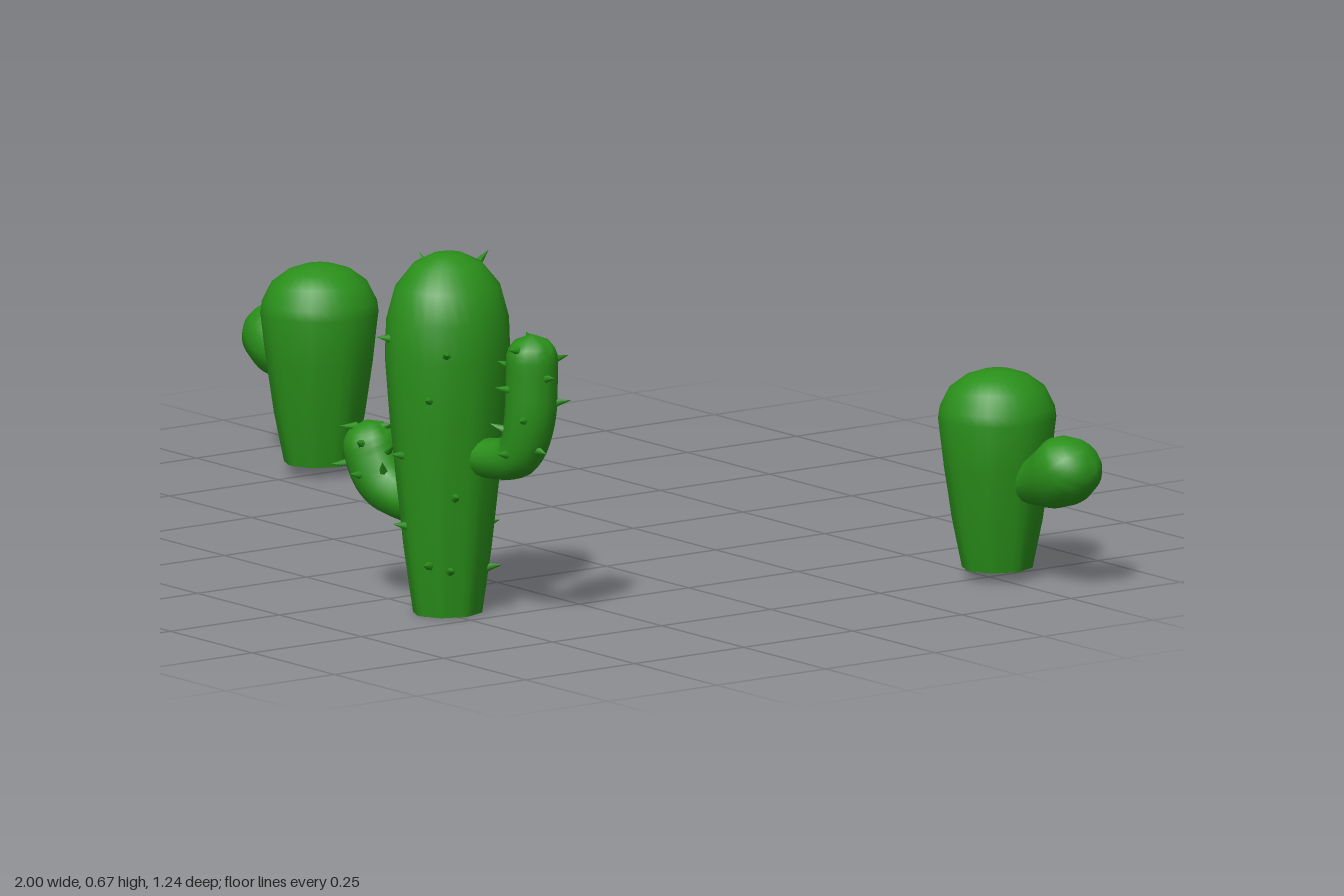
import * as THREE from 'three';
import { toCreasedNormals } from 'three/addons/utils/BufferGeometryUtils.js';

const green = new THREE.MeshStandardMaterial({ color: 0x2a8f1a });
const UP = new THREE.Vector3(0, 1, 0);

function part(name, geometry, parent) {
  const mesh = new THREE.Mesh(geometry, green);
  mesh.name = name;
  parent.add(mesh);
  return mesh;
}

// Lathed trunk with shallow ribs that fade out towards the crown
function addTrunk(parent, profile, xScale) {
  const geo = new THREE.LatheGeometry(profile.map(([r, y]) => new THREE.Vector2(r, y)), 32);
  const pos = geo.attributes.position;
  const top = profile[profile.length - 1][1];
  for (let i = 0; i < pos.count; i++) {
    const x = pos.getX(i), y = pos.getY(i), z = pos.getZ(i);
    const depth = 0.035 * Math.max(0, 1 - y / (0.9 * top));
    const k = 1 + depth * (Math.cos(8 * Math.atan2(z, x)) - 1);
    pos.setXYZ(i, x * k * xScale, y, z * k);
  }
  part('trunk', toCreasedNormals(geo, 0.9), parent);
}

// Arm swept along a curve in its own xy plane, swelling from r0 to r1, with a round tip
function addArm(parent, name, points, r0, r1, turn) {
  const rings = 28, sides = 14;
  const curve = new THREE.CatmullRomCurve3(points.map(([x, y]) => new THREE.Vector3(x, y, 0)));
  const geo = new THREE.TubeGeometry(curve, rings, 1, sides);
  const pos = geo.attributes.position, length = curve.getLength();
  const v = new THREE.Vector3();
  for (let i = 0; i <= rings; i++) {
    const u = i / rings, centre = curve.getPointAt(u);
    const toTip = Math.min(1, length * (1 - u) / r1);
    const r = THREE.MathUtils.lerp(r0, r1, THREE.MathUtils.smoothstep(u, 0, 0.65))
      * Math.sqrt(Math.max(0, 1 - (1 - toTip) ** 2));
    for (let j = 0; j <= sides; j++) {
      const n = i * (sides + 1) + j;
      v.fromBufferAttribute(pos, n).sub(centre).multiplyScalar(r).add(centre);
      pos.setXYZ(n, v.x, v.y, v.z);
    }
  }
  const arm = new THREE.Group();
  arm.name = name;
  arm.rotation.y = turn;
  parent.add(arm);
  part('armBody', toCreasedNormals(geo, 1.2), arm);
  return { arm, pos, curve, rings, sides };
}

const spikeGeo = new THREE.ConeGeometry(0.009, 0.032, 6);
function addSpike(parent, point, direction) {
  const spike = part('spike', spikeGeo, parent);
  const dir = direction.clone().normalize();
  spike.position.copy(point).addScaledVector(dir, 0.01);
  spike.quaternion.setFromUnitVectors(UP, dir);
}

// Spikes spiralling around the outer part of an arm
function addArmSpikes({ arm, pos, curve, rings, sides }, count, start) {
  for (let i = 0; i < count; i++) {
    const ring = Math.round(THREE.MathUtils.lerp(start, 0.96, i / (count - 1)) * rings);
    const side = Math.round(i * sides * 0.382) % sides;
    const p = new THREE.Vector3().fromBufferAttribute(pos, ring * (sides + 1) + side);
    const dir = p.clone().sub(curve.getPointAt(ring / rings)).normalize();
    dir.y += 0.2;
    addSpike(arm, p, dir);
  }
}

// Spikes on the trunk, each given as height and angle in degrees (0 = +x, 90 = +z)
function addTrunkSpikes(parent, profile, xScale, list) {
  for (const [y, degrees] of list) {
    let i = 2;
    while (profile[i][1] < y) i++;
    const [ra, ya] = profile[i - 1], [rb, yb] = profile[i];
    const r = THREE.MathUtils.mapLinear(y, ya, yb, ra, rb);
    const a = THREE.MathUtils.degToRad(degrees);
    const dir = new THREE.Vector3(Math.cos(a), y > 0.6 ? 1 : 0.2, Math.sin(a));
    addSpike(parent, new THREE.Vector3(dir.x * r * xScale, y, dir.z * r), dir);
  }
}

function tallCactus() {
  const cactus = new THREE.Group();
  cactus.name = 'tallCactus';
  const profile = [[0, 0], [0.067, 0], [0.085, 0.12], [0.1, 0.25], [0.112, 0.37], [0.12, 0.48],
    [0.117, 0.55], [0.1, 0.61], [0.065, 0.652], [0.03, 0.669], [0, 0.673]];
  addTrunk(cactus, profile, 0.9);
  addTrunkSpikes(cactus, profile, 0.9, [
    [0.52, 105], [0.305, 90], [0.17, 98], [0.1, 60], [0.5, 180], [0.33, 190], [0.11, 170],
    [0.64, 180], [0.5, 35], [0.415, 52], [0.23, 25], [0.09, 30], [0.085, -45], [0.65, 280],
    [0.48, 270], [0.155, 275], [0.04, 250], [0.3, 235], [0.4, 305],
  ]);
  const left = addArm(cactus, 'leftArm',
    [[0.06, 0.302], [0.12, 0.302], [0.175, 0.318], [0.2, 0.38], [0.206, 0.46], [0.206, 0.547]],
    0.036, 0.048, 0.2);
  addArmSpikes(left, 15, 0.35);
  const right = addArm(cactus, 'rightArm',
    [[0.06, 0.192], [0.11, 0.197], [0.16, 0.22], [0.19, 0.265], [0.207, 0.33]],
    0.038, 0.053, Math.PI + 0.15);
  addArmSpikes(right, 13, 0.4);
  return cactus;
}

function smallCactus(name, side) {
  const cactus = new THREE.Group();
  cactus.name = name;
  addTrunk(cactus, [[0, 0.02], [0.067, 0.02], [0.086, 0.11], [0.101, 0.21], [0.111, 0.3],
    [0.108, 0.32], [0.09, 0.355], [0.06, 0.377], [0.03, 0.387], [0, 0.39]], 0.95);
  addArm(cactus, 'arm', [[0.05, 0.182], [0.1, 0.194], [0.15, 0.212], [0.19, 0.238], [0.22, 0.268]],
    0.036, 0.065, side > 0 ? 0.18 : Math.PI - 0.18);
  return cactus;
}

export function createModel() {
  const model = new THREE.Group();
  model.name = 'cacti';
  const place = (cactus, x, z) => {
    cactus.position.set(x, 0, z);
    model.add(cactus);
  };
  place(tallCactus(), 0.41, 0.485);
  place(smallCactus('smallCactusRight', -1), -0.762, -0.103);
  place(smallCactus('smallCactusLeft', 1), 0.762, -0.51);
  return model;
}
